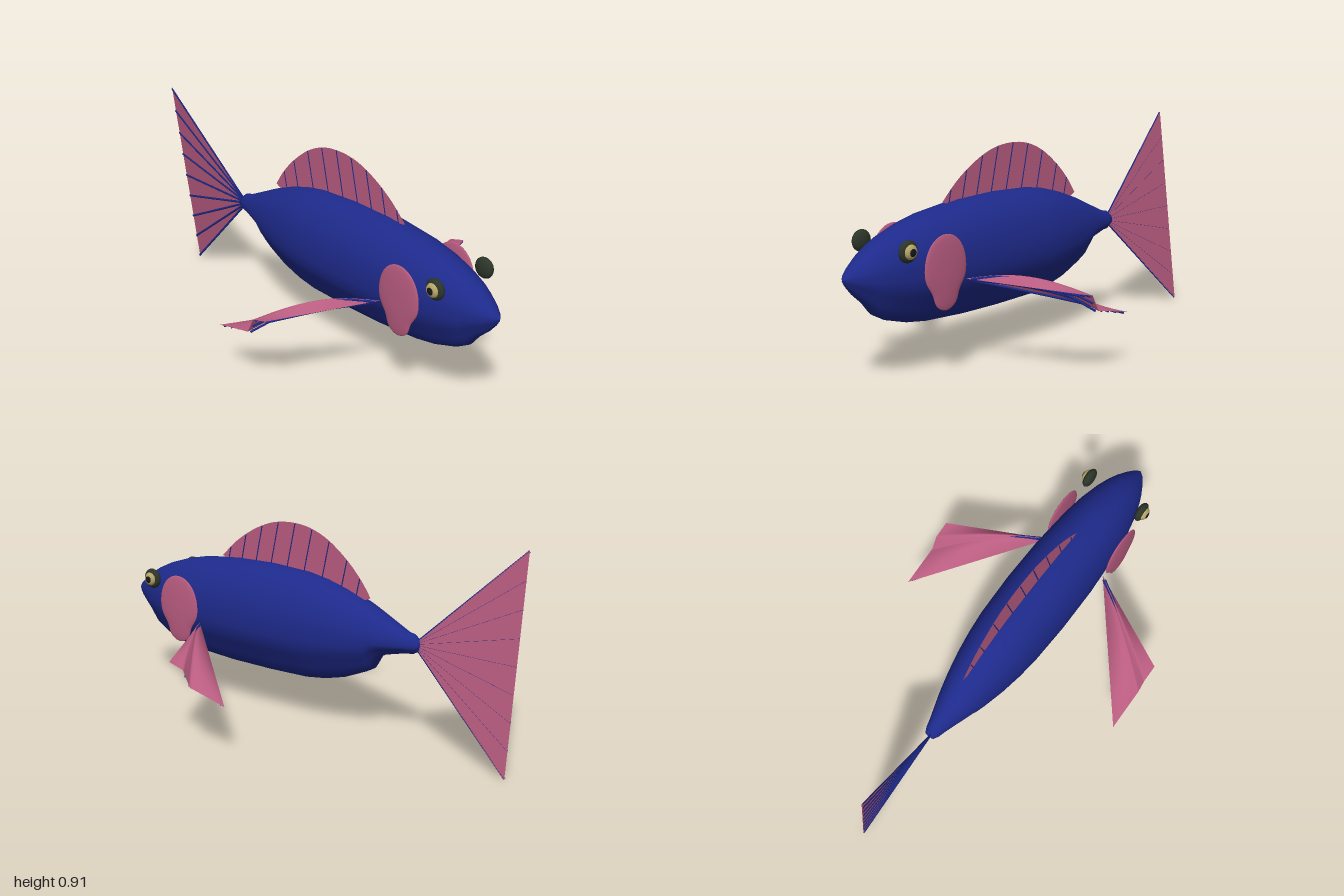
import * as THREE from 'three';

const mat = (name, color, side = THREE.FrontSide) => {
  const m = new THREE.MeshStandardMaterial({ color, side });
  m.name = name;
  return m;
};
const V = (x, y, z) => new THREE.Vector3(x, y, z);

// Indexed grid of points p(i, j); wrap closes it in j
function gridGeometry(rows, cols, p, wrap = false) {
  const pos = [], idx = [];
  const n = wrap ? cols : cols + 1;
  for (let i = 0; i <= rows; i++) {
    for (let j = 0; j < n; j++) pos.push(...p(i, j));
  }
  for (let i = 0; i < rows; i++) {
    for (let j = 0; j < cols; j++) {
      const k = (j + 1) % n;
      const a = i * n + j, b = (i + 1) * n + j, c = i * n + k, d = (i + 1) * n + k;
      idx.push(a, b, c, b, d, c);
    }
  }
  const g = new THREE.BufferGeometry();
  g.setAttribute('position', new THREE.Float32BufferAttribute(pos, 3));
  g.setIndex(idx);
  g.computeVertexNormals();
  return g;
}

export function createModel() {
  const blue = mat('bodyBlue', 0x1e2a8b);
  const pink = mat('finPink', 0xb95c80, THREE.DoubleSide);
  const dark = mat('eyeDark', 0x2c3529);
  const gold = mat('irisGold', 0xb5a468);
  const black = mat('pupilBlack', 0x15161a);

  const fish = new THREE.Group();
  fish.name = 'fish';
  const add = (name, geo, material, parent = fish) => {
    const m = new THREE.Mesh(geo, material);
    m.name = name;
    parent.add(m);
    return m;
  };
  // Thin rod through a list of points
  const ray = (name, pts, r, parent) => add(name,
    new THREE.TubeGeometry(new THREE.CatmullRomCurve3(pts), pts.length > 2 ? 10 : 1, r, 6), blue, parent);

  // Body sections: x, top, bottom, half width
  const sections = [
    [-0.56, 0.462, 0.458, 0.002], [-0.555, 0.485, 0.435, 0.022], [-0.53, 0.505, 0.42, 0.034],
    [-0.5, 0.51, 0.418, 0.042], [-0.4, 0.556, 0.393, 0.075], [-0.37, 0.57, 0.375, 0.084],
    [-0.34, 0.584, 0.318, 0.092], [-0.3, 0.602, 0.296, 0.103], [-0.2, 0.64, 0.252, 0.125],
    [-0.1, 0.668, 0.225, 0.141], [0, 0.685, 0.211, 0.152], [0.2, 0.694, 0.206, 0.16],
    [0.4, 0.687, 0.207, 0.158], [0.6, 0.661, 0.217, 0.145], [0.7, 0.637, 0.232, 0.132],
    [0.8, 0.602, 0.262, 0.11], [0.86, 0.573, 0.295, 0.091], [0.9, 0.548, 0.345, 0.074],
    [0.95, 0.51, 0.39, 0.047], [0.98, 0.483, 0.425, 0.025], [1, 0.461, 0.457, 0.002],
  ];
  add('body', gridGeometry(sections.length - 1, 40, (i, j) => {
    const [x, top, bottom, w] = sections[i];
    const a = (j / 40) * Math.PI * 2, s = Math.sin(a);
    const y = 0.46 + s * (s > 0 ? top - 0.46 : 0.46 - bottom);
    const pinch = 1 - 0.16 * THREE.MathUtils.smoothstep(-s, 0.25, 0.68);
    return [x, y, w * Math.cos(a) * pinch];
  }, true), blue);

  // Tail fin: flat triangle with fanned rays on one side, leaning about the body axis
  const tail = new THREE.Group();
  tail.name = 'tailFin';
  tail.position.y = 0.46;
  tail.rotation.x = Math.atan(0.13);
  fish.add(tail);
  const tailRoot = V(-0.53, 0, 0);
  const tailWeb = new THREE.BufferGeometry().setFromPoints([tailRoot, V(-1, 0.459, 0), V(-1, -0.459, 0)]);
  tailWeb.computeVertexNormals();
  add('tailWeb', tailWeb, pink, tail);
  for (let i = -4; i <= 4; i++) {
    const r = ray('tailRay', [tailRoot, V(-0.999, i * 0.1135, 0)], 0.0055, tail);
    r.scale.z = 0.5;
    r.position.z = 0.0026;
  }

  // Dorsal fin: arched web with slanted rays
  const dorsal = new THREE.Group();
  dorsal.name = 'dorsalFin';
  fish.add(dorsal);
  const arch = new THREE.SplineCurve([
    [-0.315, 0.62], [-0.27, 0.685], [-0.2, 0.76], [-0.1, 0.836], [0, 0.877], [0.1, 0.887],
    [0.2, 0.873], [0.3, 0.831], [0.4, 0.765], [0.485, 0.685],
  ].map((p) => new THREE.Vector2(...p)));
  const web = new THREE.Shape(arch.getPoints(45));
  web.lineTo(0.4, 0.66);
  web.lineTo(0, 0.65);
  web.lineTo(-0.25, 0.59);
  add('dorsalWeb', new THREE.ShapeGeometry(web), pink, dorsal);
  for (let i = 0; i < 9; i++) {
    const p = arch.getPoint((i + 1.3) / 10);
    const baseY = 0.6 + 0.06 * Math.min(1, i / 3);
    ray('dorsalRay', [V(p.x, p.y - 0.002, 0), V(p.x + (p.y - baseY) * 0.22, baseY, 0)], 0.0027, dorsal);
  }

  // Pectoral fins: folded outer edge, arched web, rays beneath
  const finEdge = [[0, 0.243], [0.1, 0.267], [0.185, 0.286], [0.22, 0.355], [0.295, 0.375]];
  const finPoint = (u, t, side) => {
    const k = Math.min(3, Math.floor(t * 4)), f = t * 4 - k;
    const ex = THREE.MathUtils.lerp(finEdge[k][0], finEdge[k + 1][0], f);
    const ey = THREE.MathUtils.lerp(finEdge[k][1], finEdge[k + 1][1], f);
    const arc = 0.06 * Math.sin(Math.PI * t) * Math.sin(Math.PI * u);
    return V(0.5 + (ex - 0.5) * u, 0.4 + (ey - 0.4) * u + arc, side * (0.15 + 0.425 * u));
  };
  // Point pushed off the underside of the web along its normal
  const underPoint = (u, t, side) => {
    const along = finPoint(u + 0.01, t, side).sub(finPoint(u - 0.01, t, side));
    const across = finPoint(u, t + 0.02, side).sub(finPoint(u, t - 0.02, side));
    const down = along.cross(across).normalize();
    return finPoint(u, t, side).addScaledVector(down, -Math.sign(down.y) * 0.006);
  };

  for (const side of [1, -1]) {
    const label = side > 0 ? 'right' : 'left';
    const fin = new THREE.Group();
    fin.name = label + 'PectoralFin';
    fish.add(fin);
    add('pectoralWeb', gridGeometry(16, 24, (i, j) => finPoint(i / 16, j / 24, side).toArray()), pink, fin);
    for (let i = 0; i <= 8; i++) {
      const t = 0.025 + (i / 8) * 0.95;
      const pts = [0.04, 0.25, 0.5, 0.75, 0.985].map((u) => underPoint(u, t, side));
      ray('pectoralRay', pts, 0.005, fin);
    }

    // Gill cover: flat lens pinched towards the bottom
    const gill = new THREE.SphereGeometry(1, 32, 32);
    const p = gill.attributes.position;
    for (let i = 0; i < p.count; i++) {
      const y = p.getY(i);
      const widen = 1 + 0.1 * y - 0.19 * Math.exp(-(((y + 0.55) / 0.27) ** 2));
      p.setX(i, p.getX(i) * widen);
    }
    gill.scale(0.109, 0.153, 0.013);
    gill.computeVertexNormals();
    add(label + 'GillCover', gill, pink).position.set(0.615, 0.448, side * 0.159);

    // Eye: flattened ball, iris and pupil
    const eye = new THREE.Group();
    eye.name = label + 'Eye';
    eye.position.set(0.79, 0.558, side * 0.14);
    fish.add(eye);
    const ball = (name, r, depth, z, m) => {
      const b = add(name, new THREE.SphereGeometry(1, 24, 16), m, eye);
      b.scale.set(r, r, depth);
      b.position.z = side * z;
    };
    ball('eyeball', 0.045, 0.022, 0, dark);
    ball('iris', 0.03, 0.017, 0.016, gold);
    ball('pupil', 0.016, 0.006, 0.029, black);
  }
  return fish;
}
